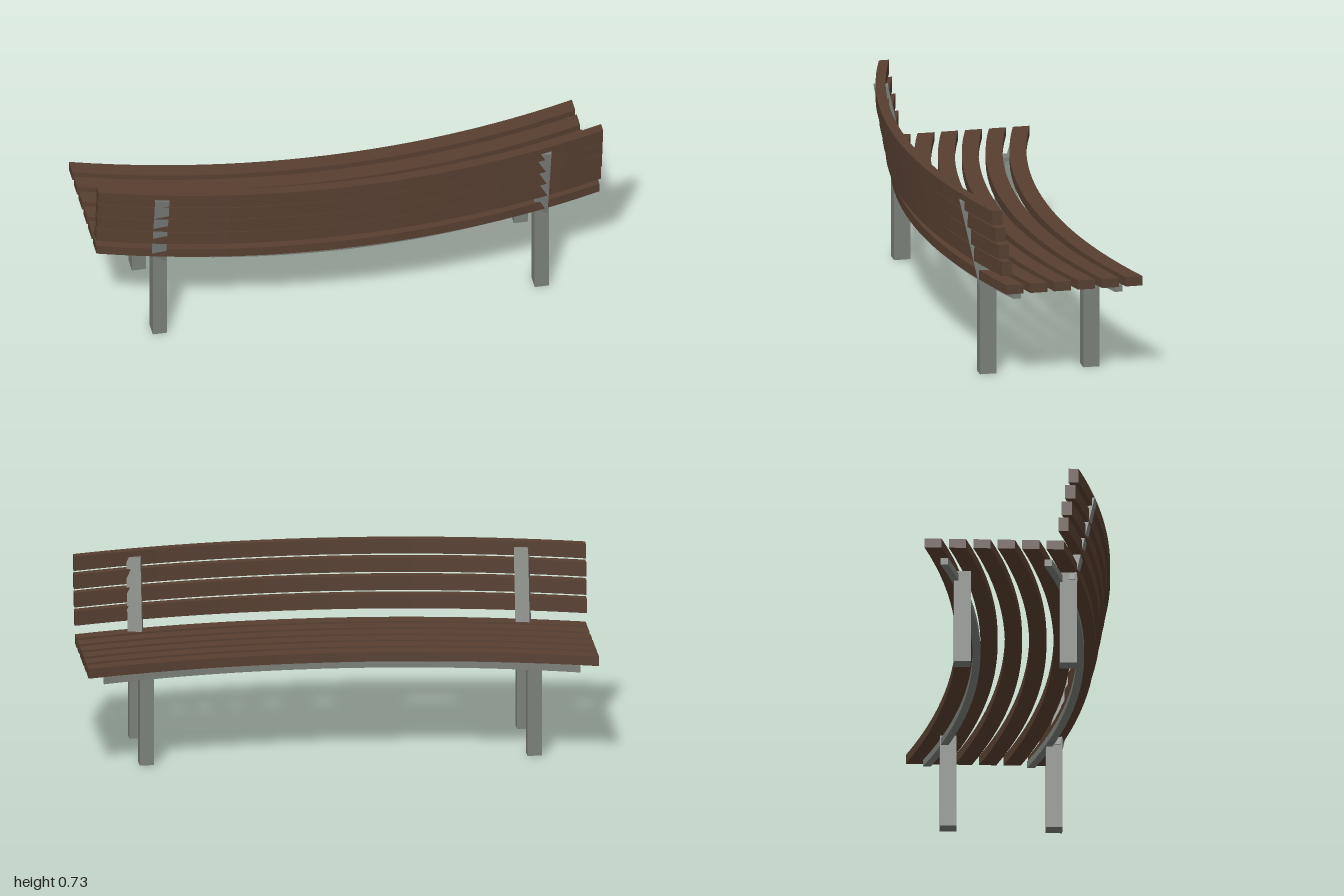
import * as THREE from 'three';

const wood = new THREE.MeshStandardMaterial({ color: 0x573f30 });
wood.name = 'dark wood';
const steel = new THREE.MeshStandardMaterial({ color: 0x7b7f79 });
steel.name = 'grey steel';

// Bar bowed towards +z: outer is the z of its convex face at x = 0
function bowedBar(name, material, half, sag, outer, depth, y, height) {
  const radius = (half * half + sag * sag) / (2 * sag);
  const steps = 24;
  const rim = [], inner = [];
  for (let i = 0; i <= steps; i++) {
    const x = -half + (2 * half * i) / steps;
    const z = outer + Math.sqrt(radius * radius - x * x) - radius;
    rim.push(new THREE.Vector2(x, -z));
    inner.unshift(new THREE.Vector2(x, -(z - depth)));
  }
  const geometry = new THREE.ExtrudeGeometry(new THREE.Shape([...rim, ...inner]), {
    depth: height, bevelEnabled: false,
  });
  geometry.rotateX(-Math.PI / 2);
  const mesh = new THREE.Mesh(geometry, material);
  mesh.name = name;
  mesh.position.y = y;
  return mesh;
}

// Leaning post: a turned box sheared along z as it rises
function backPost(x) {
  const bottom = 0.355, top = 0.707;
  const geometry = new THREE.BoxGeometry(0.056, top - bottom, 0.056);
  geometry.rotateY(-0.18);
  geometry.translate(0, (top - bottom) / 2, 0);
  const p = geometry.attributes.position;
  for (let i = 0; i < p.count; i++) p.setZ(i, p.getZ(i) + 0.222 * p.getY(i));
  geometry.computeVertexNormals();
  const mesh = new THREE.Mesh(geometry, steel);
  mesh.name = 'backPost';
  mesh.position.set(x, bottom, 0.19);
  return mesh;
}

export function createModel() {
  const bench = new THREE.Group();
  bench.name = 'curvedBench';

  // Six seat slats
  for (let i = 0; i < 6; i++) {
    bench.add(bowedBar('seatSlat', wood, 0.997, 0.157, -0.155 + i * 0.095, 0.067, 0.386, 0.038));
  }

  // Four backrest slats, each stepped further back
  for (let i = 0; i < 4; i++) {
    bench.add(bowedBar('backSlat', wood, 1, 0.157, 0.339 + i * 0.013, 0.04, 0.463 + i * 0.07, 0.058));
  }

  // Rails under the seat
  for (const outer of [-0.127, 0.277]) {
    bench.add(bowedBar('seatRail', steel, 0.93, 0.157, outer, 0.03, 0.345, 0.028));
  }

  // Legs and back posts
  for (const x of [-0.757, 0.757]) {
    for (const z of [-0.223, 0.189]) {
      const leg = new THREE.Mesh(new THREE.BoxGeometry(0.056, 0.386, 0.065), steel);
      leg.name = 'leg';
      leg.position.set(x, 0.193, z);
      bench.add(leg);
    }
    bench.add(backPost(x));
  }
  return bench;
}
